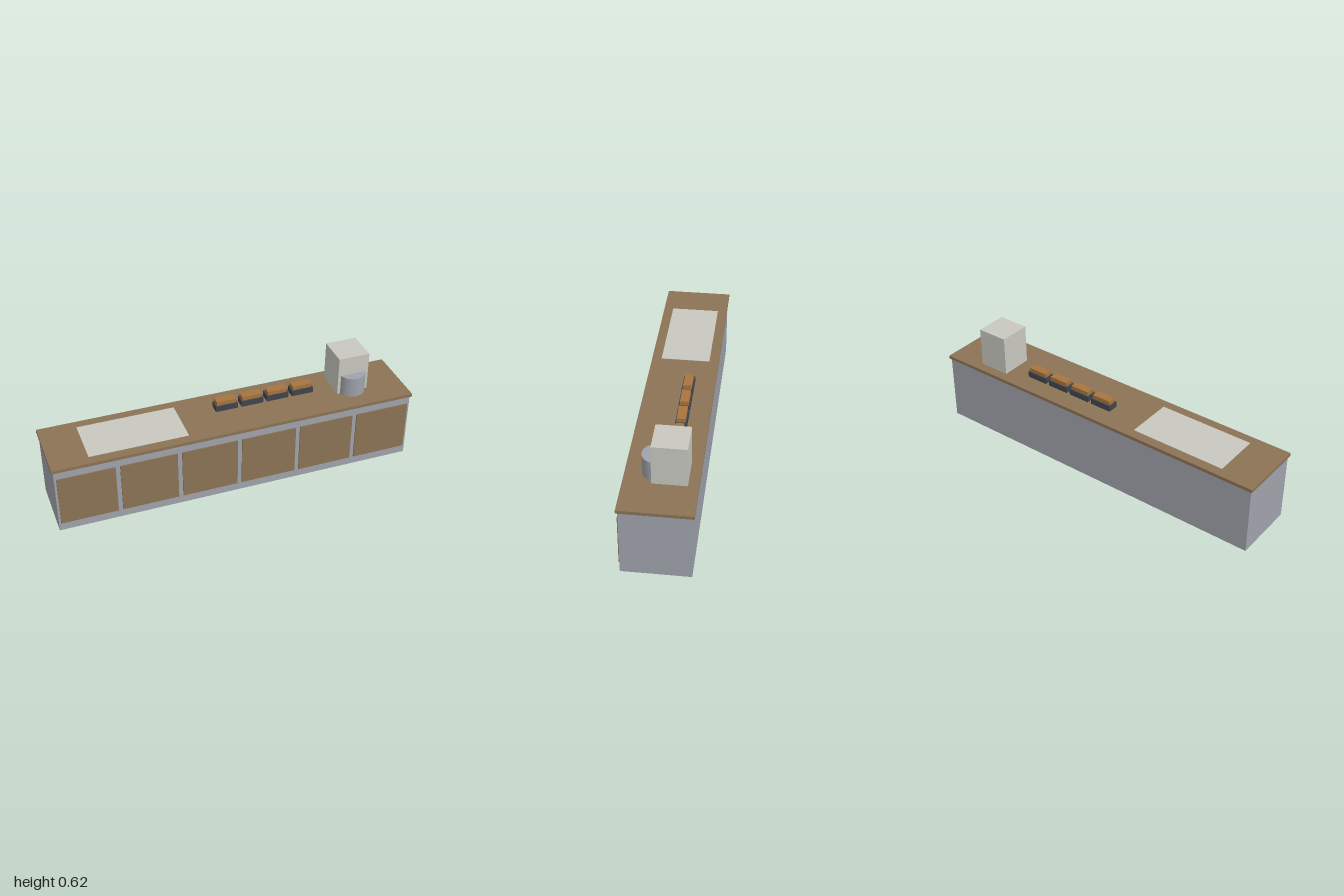
import * as THREE from 'three';

const mat = (name, color) => {
  const m = new THREE.MeshStandardMaterial({ color });
  m.name = name;
  return m;
};

export function createModel() {
  const group = new THREE.Group();
  group.name = 'kitchenCounter';
  const metal = mat('grey metal', 0xa0a3ab);
  const wood = mat('brown wood', 0x8b7355);
  const pale = mat('pale grey', 0xc8c8c0);
  const dark = mat('dark grey', 0x40444c);
  const orange = mat('orange brown', 0xa87440);

  // Box given by its extents on each axis
  const box = (name, material, [x0, x1], [y0, y1], [z0, z1]) => {
    const mesh = new THREE.Mesh(new THREE.BoxGeometry(x1 - x0, y1 - y0, z1 - z0), material);
    mesh.position.set((x0 + x1) / 2, (y0 + y1) / 2, (z0 + z1) / 2);
    mesh.name = name;
    group.add(mesh);
  };

  // Cabinet and worktop
  const top = 0.398;
  box('cabinet', metal, [-0.991, 0.991], [0, 0.38], [-0.176, 0.176]);
  box('worktop', wood, [-1, 1], [0.38, top], [-0.185, 0.185]);

  // Six front doors
  for (let i = 0; i < 6; i++) {
    const x = (i - 2.5) * 0.3305;
    box('door', wood, [x - 0.153, x + 0.153], [0.048, 0.334], [0.176, 0.182]);
  }

  // Thin inset plate
  box('worktopPlate', pale, [-0.797, -0.264], [top, 0.4], [-0.133, 0.133]);

  // Row of trays with their contents
  for (let i = 0; i < 4; i++) {
    const x = -0.002 + i * 0.1457;
    box('tray', dark, [x - 0.062, x + 0.062], [top, 0.431], [-0.076, 0.018 - 0.034]);
    box('trayFilling', orange, [x - 0.055, x + 0.055], [0.431, 0.454], [-0.069, -0.023]);
  }

  // Appliance: tall housing with a round pot in front
  box('applianceHousing', pale, [0.615, 0.791], [top, 0.618], [-0.131, 0.045]);
  const pot = new THREE.Mesh(new THREE.CylinderGeometry(0.075, 0.075, 0.113, 16), metal);
  pot.position.set(0.703, top + 0.0565, 0.027);
  pot.name = 'appliancePot';
  group.add(pot);

  return group;
}
